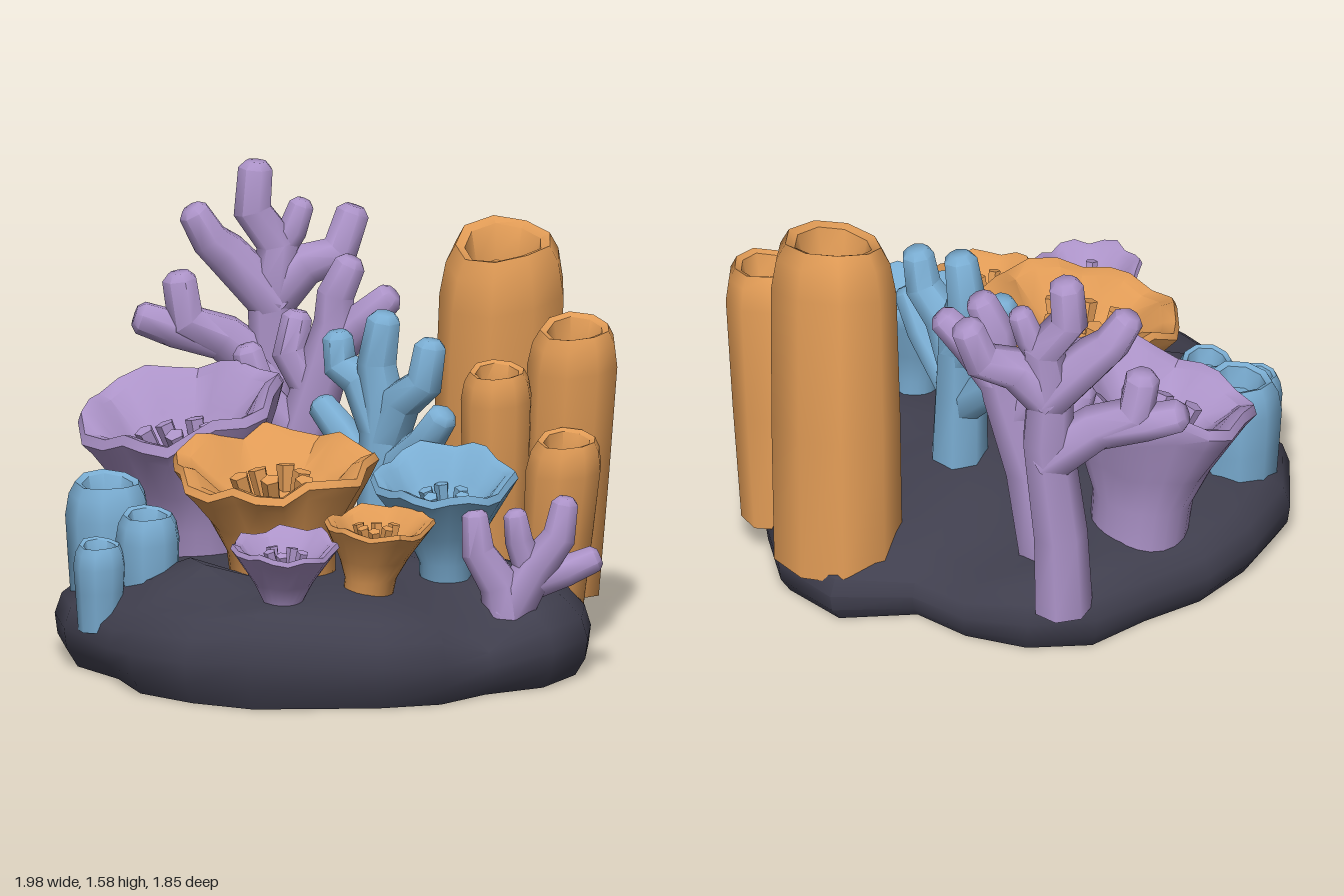
import * as THREE from 'three';
import { toCreasedNormals } from 'three/addons/utils/BufferGeometryUtils.js';

const mat = (name, color) => {
  const m = new THREE.MeshStandardMaterial({ color });
  m.name = name;
  return m;
};
const V = (x, y, z) => new THREE.Vector3(x, y, z);
const UP = V(0, 1, 0);

// Skin a stack of equal-length rings and cap both ends
function loft(rings, crease) {
  const pos = [];
  const tri = (...ps) => ps.forEach(p => pos.push(p.x, p.y, p.z));
  const n = rings[0].length;
  const mid = ring => ring.reduce((s, p) => s.add(p), V(0, 0, 0)).divideScalar(n);
  const first = rings[0], last = rings[rings.length - 1];
  const c0 = mid(first), c1 = mid(last);
  for (let j = 0; j < n; j++) {
    const k = (j + 1) % n;
    for (let i = 0; i < rings.length - 1; i++) {
      const a = rings[i][j], b = rings[i][k], c = rings[i + 1][k], d = rings[i + 1][j];
      tri(a, d, b);
      tri(b, d, c);
    }
    tri(c0, first[j], first[k]);
    tri(c1, last[k], last[j]);
  }
  const g = new THREE.BufferGeometry();
  g.setAttribute('position', new THREE.Float32BufferAttribute(pos, 3));
  return toCreasedNormals(g, crease);
}

// Ring around a centre, facing along dir; shape(angle) gives [radius factor, lift]
function ring(c, dir, r, sides, shape = () => [1, 0]) {
  const q = new THREE.Quaternion().setFromUnitVectors(UP, dir.clone().normalize());
  return Array.from({ length: sides }, (_, j) => {
    const a = j / sides * Math.PI * 2;
    const [f, lift] = shape(a);
    return V(Math.cos(a) * r * f, lift, Math.sin(a) * r * f).applyQuaternion(q).add(c);
  });
}

// Rock: outline radii every 15 degrees, from +x towards +z
const OUTLINE = [.92, .91, .83, .88, .87, .87, .93, .94, .95, .89, .97, .99,
  .95, .92, .88, .93, .90, .84, .77, .95, .97, .9, .86, .88];
// Lumps and hollows: x, z, height, width
const BUMPS = [[-.37, .48, .13, .15], [.62, -.05, .12, .16], [.15, .5, .05, .25], [-.64, .58, -.07, .12],
  [.68, .36, -.09, .12], [-.55, -.68, .06, .15], [-.1, -.65, -.07, .18], [.42, -.72, .05, .2],
  [.1, -.1, .04, .3], [.05, .88, .05, .16]];

function rockGeometry() {
  const levels = [[.95, 0], [.99, .06], [1, .13], [.975, .2], [.91, .25], [.8, .28], [.64, .295], [.45, .31], [.25, .32], [.08, .32]];
  return loft(levels.map(([s, y]) => OUTLINE.map((r, j) => {
    const a = j / 24 * Math.PI * 2;
    const x = Math.cos(a) * r * s, z = Math.sin(a) * r * s;
    const lump = BUMPS.reduce((h, [bx, bz, amp, w]) =>
      h + amp * Math.exp(-((x - bx) ** 2 + (z - bz) ** 2) / (w * w)), .04 * z);
    return V(x, y + lump * Math.min(1, y / .25), z);
  })), 0.85);
}

// Hollow tube sponge leaning from base to top, mouth tipped forward
function tubeGeometry(base, top, r, tip, foot) {
  const b = V(...base), t = V(...top), len = t.y - b.y;
  const dir = V(0.04, 1, tip);
  const wobble = a => [1 + .03 * Math.sin(a * 3 + r * 40), .05 * r * Math.sin(a * 2)];
  const prof = [[0, foot], [.45, (foot + 1.04) / 2], [1 - .8 * r / len, 1.01], [1 - .28 * r / len, .92],
    [1, .77], [1 - .06 * r / len, .62], [1 - .6 * r / len, .5]];
  return loft(prof.map(([s, f], i) =>
    ring(b.clone().lerp(t, s), i > 1 ? dir : UP, r * f, 9, wobble)), 0.9);
}

// Flared cup coral with a scalloped rim, plus short polyps in its bowl
function cup(name, material, { base, top, r, neck, tip, sz = 1, lobes = 6, polyps = 5 }) {
  const g = new THREE.Group();
  g.name = name;
  const b = V(...base), t = V(...top), len = t.y - b.y;
  const dir = V(tip[0], 1, tip[1]).normalize();
  const flare = k => neck + (r - neck) * k;
  const prof = [[0, neck * .95, 0], [.35, neck, 0], [.58, flare(.32), .3], [.85, flare(.82), .8],
    [.95, r, 1], [1, r * .96, 1], [.97, r * .83, .9], [.82, r * .6, .5], [.7, r * .36, .1]];
  const rings = prof.map(([s, rad, w], i) => {
    const d = UP.clone().lerp(dir, Math.min(1, i / 4)).normalize();
    return ring(b.clone().lerp(t, s), d, rad, 22, a => [
      (1 + w * .05 * Math.cos(a * lobes + r * 9)) * Math.sqrt(Math.cos(a) ** 2 + (sz * Math.sin(a)) ** 2),
      w * r * (.06 * Math.cos(a * lobes + 1) + .04 * Math.sin(a * 2 + r * 20))]);
  });
  const bowl = new THREE.Mesh(loft(rings, 0.7), material);
  bowl.name = name + 'Bowl';
  g.add(bowl);
  const floor = b.clone().lerp(t, .7);
  const h = .05 + r * .18, w = r * .06 + .007;
  for (let i = 0; i < polyps; i++) {
    const a = i / polyps * Math.PI * 2 + r * 7;
    const d = V(Math.cos(a) * .25 + tip[0], 1, Math.sin(a) * .25 + tip[1]);
    const p = new THREE.Mesh(new THREE.CylinderGeometry(w * 1.2, w, h, 5).toNonIndexed(), material);
    p.geometry.computeVertexNormals();
    p.name = 'polyp';
    p.quaternion.setFromUnitVectors(UP, d.normalize());
    const ringR = r * (i % 2 ? .22 : .34);
    p.position.set(floor.x + Math.cos(a) * ringR, floor.y + h * .4, floor.z + Math.sin(a) * ringR);
    g.add(p);
  }
  return g;
}

// Branching coral: limbs given as [x, y] paths lying in an upright slanted plane
function branchCoral(name, material, zAt, limbs) {
  const g = new THREE.Group();
  g.name = name;
  limbs.forEach(([r0, r1, ...path], k) => {
    const pts = path.map(([x, y], i) => V(x, y, zAt(x) + (k ? .01 * Math.sin(k * 2.3) * i : 0)));
    const n = pts.length;
    const rings = pts.map((p, i) => {
      const d = pts[Math.min(i + 1, n - 1)].clone().sub(pts[Math.max(i - 1, 0)]);
      return ring(p, d, r0 + (r1 - r0) * i / (n - 1), 7);
    });
    const end = pts[n - 1], dir = end.clone().sub(pts[n - 2]).normalize();
    rings.push(ring(end.clone().addScaledVector(dir, r1 * .4), dir, r1 * .6, 7));
    const m = new THREE.Mesh(loft(rings, 0.95), material);
    m.name = k ? 'branch' : 'trunk';
    g.add(m);
  });
  return g;
}

export function createModel() {
  const model = new THREE.Group();
  model.name = 'coralReef';
  const rock = mat('darkRock', 0x403f4e);
  const orange = mat('orangeCoral', 0xdf9a55);
  const purple = mat('purpleCoral', 0xac93c8);
  const blue = mat('blueCoral', 0x7aadd2);
  const add = (name, geometry, material) => {
    const m = new THREE.Mesh(geometry, material);
    m.name = name;
    model.add(m);
  };

  add('rockBase', rockGeometry(), rock);

  // Tube sponges: base, top, radius, forward tip of the mouth, foot width
  [
    [[.33, .15, -.68], [.395, 1.385, -.59], .222, .27, 1.03],
    [[.62, .15, -.57], [.7, 1.12, -.49], .158, .2, .86],
    [[.44, .15, -.39], [.48, .99, -.3], .124, .15, .85],
    [[.67, .15, -.34], [.745, .77, -.28], .132, .15, .85],
  ].forEach(a => add('orangeTube', tubeGeometry(...a), orange));
  [
    [[-.75, .15, .25], [-.76, .62, .25], .147, .08, .9],
    [[-.56, .15, .39], [-.56, .55, .4], .112, .1, .9],
    [[-.7, .15, .5], [-.7, .455, .51], .092, .1, .85],
  ].forEach(a => add('blueTube', tubeGeometry(...a), blue));

  // Cup corals
  model.add(
    cup('largePurpleCup', purple, { base: [-.6, .15, -.23], top: [-.64, .83, -.16], r: .37, neck: .18, tip: [-.15, .27], sz: .84, lobes: 6, polyps: 6 }),
    cup('largeOrangeCup', orange, { base: [-.11, .25, .25], top: [-.15, .74, .24], r: .36, neck: .19, tip: [0, .15], sz: .93, lobes: 7, polyps: 6 }),
    cup('blueCup', blue, { base: [.42, .22, .06], top: [.43, .71, .11], r: .25, neck: .095, tip: [.05, .27], sz: .86, lobes: 6 }),
    cup('smallOrangeCup', orange, { base: [.25, .28, .42], top: [.31, .6, .43], r: .185, neck: .09, tip: [.03, .1], lobes: 6, polyps: 6 }),
    cup('smallPurpleCup', purple, { base: [.03, .22, .66], top: [.05, .555, .7], r: .185, neck: .065, tip: [.03, .1], lobes: 7 }));

  // Branching corals: start radius, end radius, then path
  model.add(
    branchCoral('tallPurpleBranches', purple, x => -.68 - .45 * (x + .55), [
      [.105, .062, [-.54, .18], [-.53, .5], [-.49, .9], [-.5, 1.12], [-.48, 1.28], [-.56, 1.4], [-.55, 1.55]],
      [.09, .057, [-.48, 1.06], [-.64, 1.25], [-.69, 1.3], [-.74, 1.4]],
      [.09, .06, [-.5, 1.08], [-.4, 1.2], [-.29, 1.24], [-.25, 1.38]],
      [.06, .045, [-.5, 1.22], [-.43, 1.33], [-.4, 1.42]],
      [.095, .062, [-.48, .8], [-.65, .95], [-.77, 1.01], [-.79, 1.16]],
      [.075, .06, [-.65, .94], [-.81, .98], [-.92, 1.02]]]),
    branchCoral('lowPurpleBranches', purple, x => -.53 - .2 * (x + .2), [
      [.11, .057, [-.4, .17], [-.33, .6], [-.24, .9], [-.2, 1.06], [-.2, 1.16], [-.15, 1.27]],
      [.08, .055, [-.22, .95], [-.11, 1.07], [-.01, 1.16]],
      [.08, .055, [-.25, .78], [-.36, .95], [-.34, 1.07]],
      [.08, .055, [-.31, .62], [-.46, .8], [-.5, .95]]]),
    branchCoral('blueBranches', blue, x => -.22 + .42 * (x - .08), [
      [.105, .06, [.1, .2], [.09, .6], [.09, .85], [.06, 1], [.09, 1.16]],
      [.085, .055, [.09, .76], [.0, .93], [-.09, .97], [-.1, 1.07]],
      [.085, .057, [.09, .72], [.16, .88], [.26, .96], [.28, 1.09]],
      [.075, .055, [.1, .6], [.27, .75], [.35, .86]],
      [.075, .052, [.08, .55], [-.08, .72], [-.18, .81]]]),
    branchCoral('smallPurpleBranches', purple, x => .16 - .48 * (x - .75), [
      [.09, .046, [.7, .17], [.67, .35], [.6, .47], [.59, .6]],
      [.085, .048, [.69, .24], [.78, .41], [.86, .52], [.88, .64]],
      [.065, .048, [.73, .34], [.87, .39], [.96, .43]],
      [.06, .042, [.77, .38], [.73, .51], [.72, .6]]]));
  return model;
}
